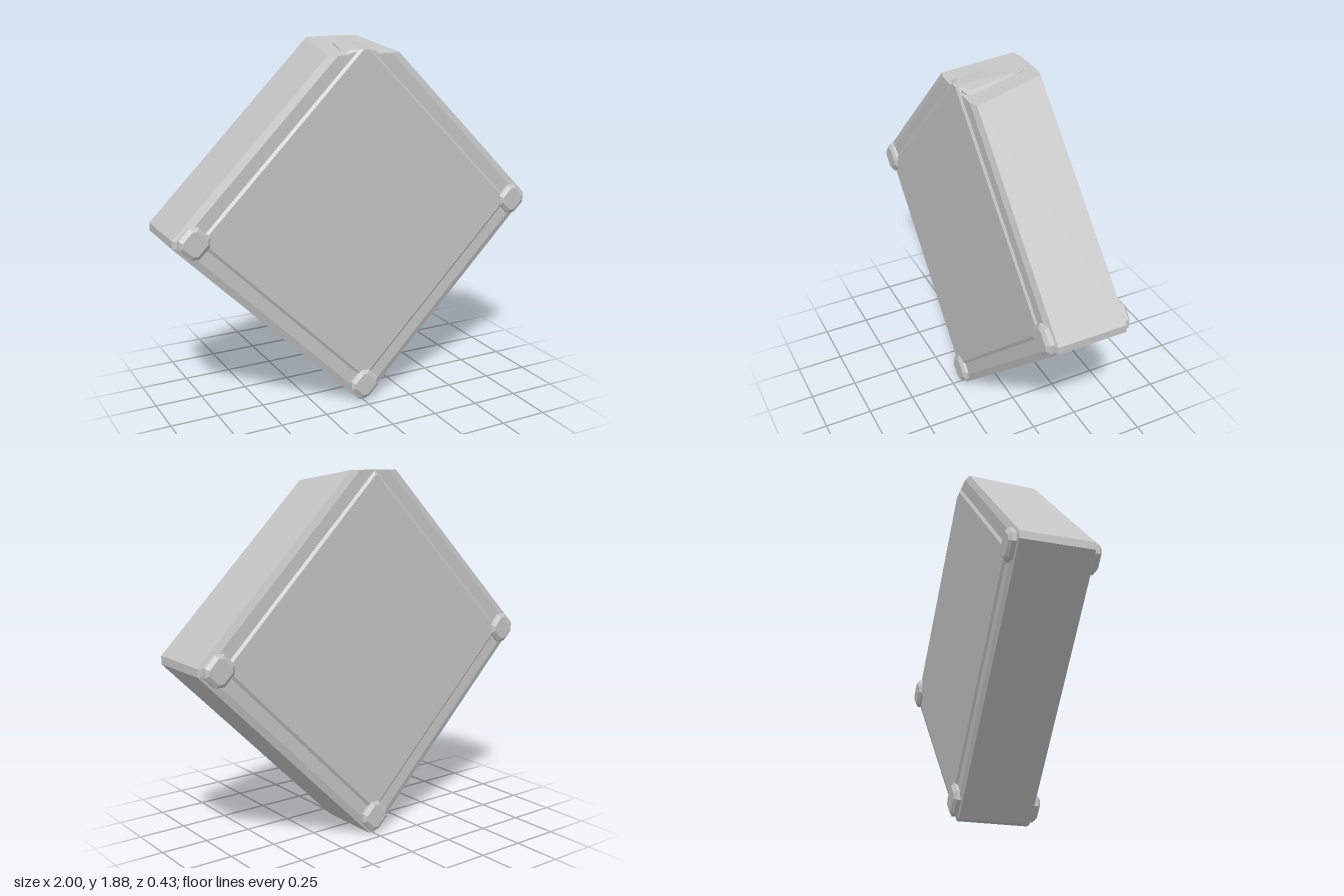
import * as THREE from 'three';
import { ConvexGeometry } from 'three/addons/geometries/ConvexGeometry.js';

// Diamond |x| + |y| = d around (cx, cy), corners cut off at distance c, top cut at t
function diamond(cx, cy, z, d, c, t = c) {
  const s = d - c, u = d - t;
  return [[c, -s], [c, s], [u, t], [-u, t], [-c, s], [-c, -s], [-s, -c], [s, -c]]
    .map(([x, y]) => [cx + x, cy + y, z]);
}

// Solid skin over cross-sections listed from back to front, with flat end caps
function loft(sections) {
  const pos = [];
  const tri = (a, b, c) => pos.push(...a, ...b, ...c);
  const n = sections[0].length;
  for (let k = 0; k < sections.length - 1; k++) {
    const a = sections[k], b = sections[k + 1];
    for (let i = 0; i < n; i++) {
      const j = (i + 1) % n;
      tri(a[i], a[j], b[j]);
      tri(a[i], b[j], b[i]);
    }
  }
  const back = sections[0], front = sections[sections.length - 1];
  for (let i = 1; i < n - 1; i++) {
    tri(front[0], front[i], front[i + 1]);
    tri(back[0], back[i + 1], back[i]);
  }
  const g = new THREE.BufferGeometry();
  g.setAttribute('position', new THREE.Float32BufferAttribute(pos, 3));
  g.computeVertexNormals();
  return g;
}

export function createModel() {
  const group = new THREE.Group();
  const grey = new THREE.MeshStandardMaterial({ color: 0xc4c4c4 });
  grey.name = 'plain grey';
  const add = (name, geometry) => {
    const mesh = new THREE.Mesh(geometry, grey);
    mesh.name = name;
    group.add(mesh);
  };

  // Thick diamond slab with bevelled rims and a sloping cut across the top corner
  const topCut = z => 0.82 + 0.06 * (0.2 - z) / 0.38;
  add('body', loft([[-0.19, 0.97, 0.96], [-0.178, 1.02, 1], [0.175, 1.02, 1], [0.19, 0.97, 0.96]]
    .map(([z, d, c]) => diamond(0, 1, z, d, c, Math.min(topCut(z), 0.88)))));

  // Slightly raised square panels on both faces
  add('frontPanel', loft([diamond(0, 1, 0.185, 0.88, 0.875, 0.845), diamond(0, 1, 0.19, 0.88, 0.875, 0.845),
    diamond(0, 1, 0.2, 0.86, 0.855, 0.845)]));
  add('backPanel', loft([diamond(0, 1, -0.2, 0.86, 0.855), diamond(0, 1, -0.19, 0.88, 0.875),
    diamond(0, 1, -0.185, 0.88, 0.875)]));

  // Low uneven ridge on the cut corner
  add('topRidge', new ConvexGeometry([
    [-0.1, 1.822, 0.17], [-0.07, 1.862, -0.02], [0.05, 1.876, -0.14], [0.1, 1.822, 0.16],
    [0.07, 1.842, 0.14], [-0.07, 1.845, 0.16], [0, 1.845, 0.2], [0, 1.8, 0.19],
    [-0.07, 1.8, 0], [0.05, 1.8, -0.12],
  ].map(p => new THREE.Vector3(...p))));

  // Bevelled studs at the side and bottom corners, front and back
  for (const [x, y, place] of [[0.9, 1, 'left'], [-0.9, 1, 'right'], [0, 0.1, 'bottom']]) {
    const base = [[0.175, 0.1, 0.077], [0.203, 0.1, 0.077], [0.217, 0.072, 0.06]];
    add(place + 'FrontStud', loft(base.map(([z, d, c]) => diamond(x, y, z, d, c))));
    add(place + 'BackStud', loft(base.map(([z, d, c]) => diamond(x, y, -z, d, c)).reverse()));
  }
  return group;
}
